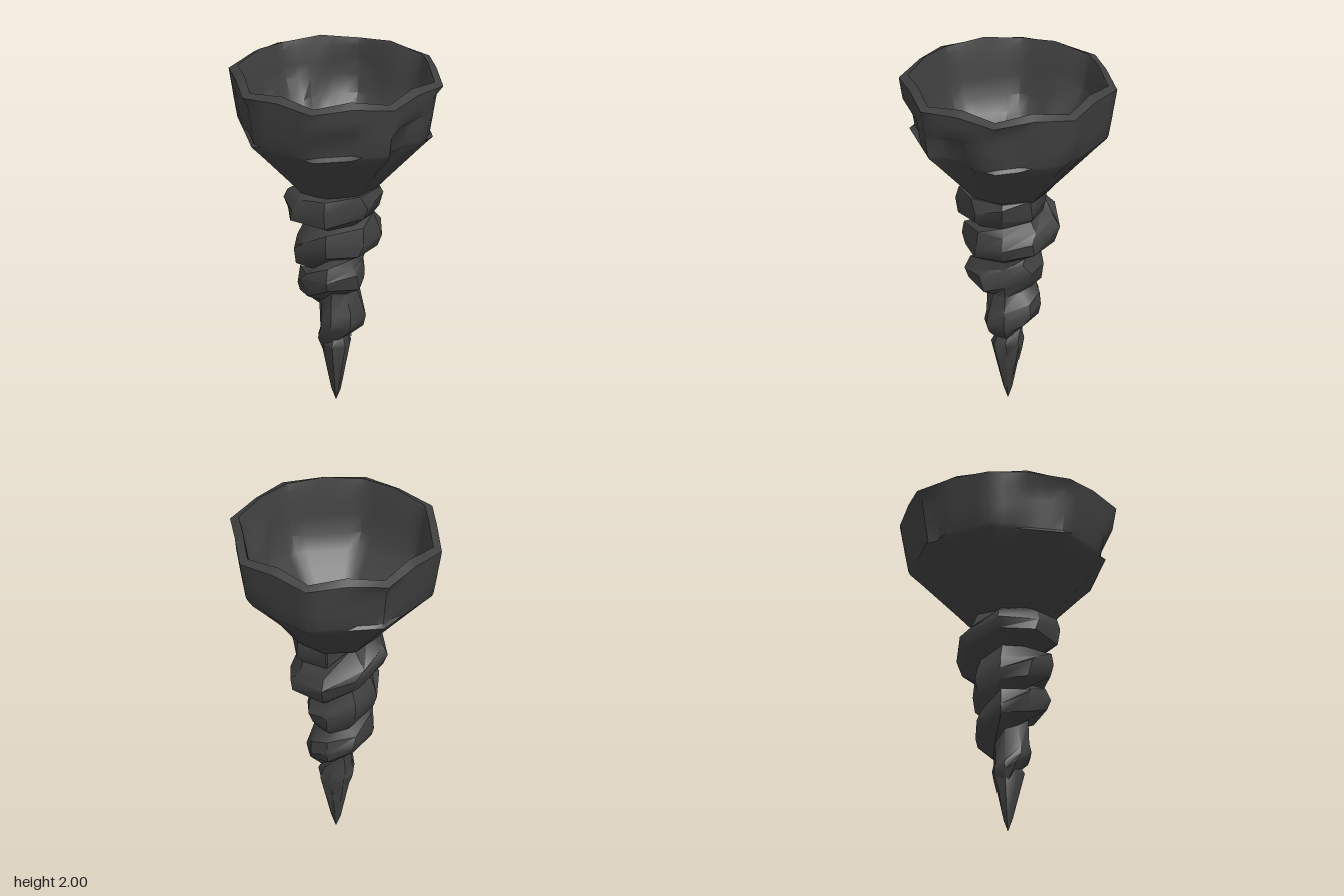
import * as THREE from 'three';
import { toCreasedNormals } from 'three/addons/utils/BufferGeometryUtils.js';

const stone = new THREE.MeshStandardMaterial({ color: 0x404040 });
stone.name = 'charcoal';

let seed = 11;
const rand = () => (seed = (seed * 16807) % 2147483647) / 2147483647 * 2 - 1;
const rad = THREE.MathUtils.degToRad;

// Angle 0 faces the front (+z) and grows towards +x
const polar = (deg, r, y) => [r * Math.sin(rad(deg)), y, r * Math.cos(rad(deg))];

// Skin rows of points (bottom to top, anticlockwise) into a surface
function skin(name, rows, crease) {
  const n = rows[0].length, index = [];
  for (let i = 0; i < rows.length - 1; i++) {
    for (let j = 0; j < n - 1; j++) {
      const a = i * n + j, b = a + 1, c = a + n, d = c + 1;
      index.push(a, b, d, a, d, c);
    }
  }
  const geo = new THREE.BufferGeometry();
  geo.setAttribute('position', new THREE.Float32BufferAttribute(rows.flat(2), 3));
  geo.setIndex(index);
  const mesh = new THREE.Mesh(toCreasedNormals(geo, crease), stone);
  mesh.name = name;
  return mesh;
}

// Chipped recesses: [from, to (degrees), low y, high y, depth]
const outerChips = [
  [0, 24, 1.65, 1.8, 0.04], [292, 315, 1.65, 1.91, 0.025], [50, 68, 1.58, 1.78, 0.05],
  [90, 110, 1.65, 1.9, 0.03], [205, 235, 1.65, 1.9, 0.025], [135, 148, 1.45, 1.67, 0.025],
];
const innerChips = [
  [217, 248, 1.48, 1.72, 0.05], [285, 310, 1.38, 1.5, 0.06],
  [75, 95, 1.6, 1.8, 0.03], [160, 195, 1.62, 1.85, -0.03],
];
const chip = (list, a, y) => list.reduce((sum, [a0, a1, y0, y1, d]) =>
  (a >= a0 && a <= a1 && y >= y0 && y <= y1 ? sum + d : sum), 0);

// Octagonal bowl: up the outside, over the rim, down the stepped hollow
function bowl() {
  const profile = [
    [0.16, 1.27], [0.23, 1.295], [0.275, 1.345], [0.385, 1.46], [0.5, 1.58], [0.56, 1.64], [0.57, 1.66],
    [0.59, 1.77], [0.598, 1.82], [0.612, 1.9], [0.62, 1.95, 0.02],
    [0.57, 1.97, 0.03], [0.555, 1.93],
    [0.54, 1.84], [0.53, 1.76], [0.51, 1.65], [0.46, 1.57], [0.38, 1.49], [0.285, 1.39],
    [0.25, 1.355], [0.235, 1.335], [0.16, 1.325], [0.15, 1.15], [0.1, 1.08], [0.09, 0.9],
    [0.055, 0.84], [0.045, 0.65], [0, 0.6],
  ];
  const rim = 11, steps = 48;
  const rows = profile.map(([r, y, lift = 0], i) => {
    const row = [];
    for (let j = 0; j <= steps; j++) {
      const a = (j % steps) * 360 / steps;
      const side = (a % 45) - 22.5;
      const flat = Math.cos(rad(22.5)) / Math.cos(rad(side));
      const push = chip(i < rim ? outerChips : innerChips, a, y);
      row.push(polar(a, r * flat - push, y + lift * (1 - Math.abs(side) / 22.5)));
    }
    return row;
  });
  return skin('bowl', rows, 0.8);
}

// Ridge height and radius at each quarter turn, starting at +x
const ridge = [
  [0.36, 0.1], [0.37, 0.09], [0.39, 0.1], [0.49, 0.135], [0.53, 0.17], [0.6, 0.19],
  [0.71, 0.22], [0.8, 0.24], [0.8, 0.17], [0.83, 0.2], [0.9, 0.24], [1.01, 0.27],
  [1.03, 0.26], [1.07, 0.29], [1.19, 0.3], [1.22, 0.3], [1.27, 0.27], [1.29, 0.23],
];
function ridgeAt(k) {
  const q = Math.min(k / 2, ridge.length - 1), i = Math.floor(q), t = q - i;
  const a = ridge[i], b = ridge[Math.min(i + 1, ridge.length - 1)];
  return [a[0] + (b[0] - a[0]) * t, a[1] + (b[1] - a[1]) * t];
}

// Rough screw thread climbing the stem, tucked under the bowl at the top
function thread() {
  const last = (ridge.length - 1) * 2, top = 1.31;
  const groove = [];
  for (let k = 0; k <= last + 8; k++) {
    const y = ridgeAt(k)[0] + (k > last ? 0.05 : -0.125);
    const r = Math.min(0.06 + 0.17 * Math.max(0, y - 0.35), 0.2) * (1 + 0.1 * rand());
    groove.push(polar(90 + k * 45, r, Math.min(y + 0.015 * rand(), top)));
  }
  const rows = [[], [], [], [], []];
  for (let k = 0; k <= last; k++) {
    const [y, r] = ridgeAt(k), a = 90 + k * 45;
    const h = 0.02 + 0.05 * Math.min(1, r / 0.25);
    const even = k % 2 === 0;
    const point = (scale, dy) => polar(a + (even ? 0 : 10 * rand()),
      r * (scale + (even ? 0.03 : 0.06) * rand()), Math.min(y + dy + 0.02 * rand(), top));
    rows[0].push(groove[k]);
    rows[1].push(point(0.93, -h));
    rows[2].push(point(1, 0));
    rows[3].push(point(0.92, h));
    rows[4].push(groove[k + 8]);
  }
  return skin('stemThread', rows, 0.7);
}

// Tapered body of revolution with chipped corners
function spike(name, profile, rough, crease) {
  const rows = profile.map(([r, y]) => {
    const row = [];
    for (let j = 0; j < 8; j++) row.push(polar(j * 45, r * (1 + rough * rand()), y));
    row.push(row[0]);
    return row;
  });
  return skin(name, rows, crease);
}

export function createModel() {
  const group = new THREE.Group();
  group.name = 'twistedCup';
  group.add(
    bowl(),
    thread(),
    spike('stemCore', [[0.06, 0.36], [0.1, 0.68], [0.125, 0.9], [0.17, 1.2], [0.175, 1.3]], 0.04, 0.7),
    spike('pointedTip', [[0, 0], [0.025, 0.07], [0.09, 0.35], [0.07, 0.41], [0, 0.44]], 0.12, 0.6),
  );
  return group;
}
